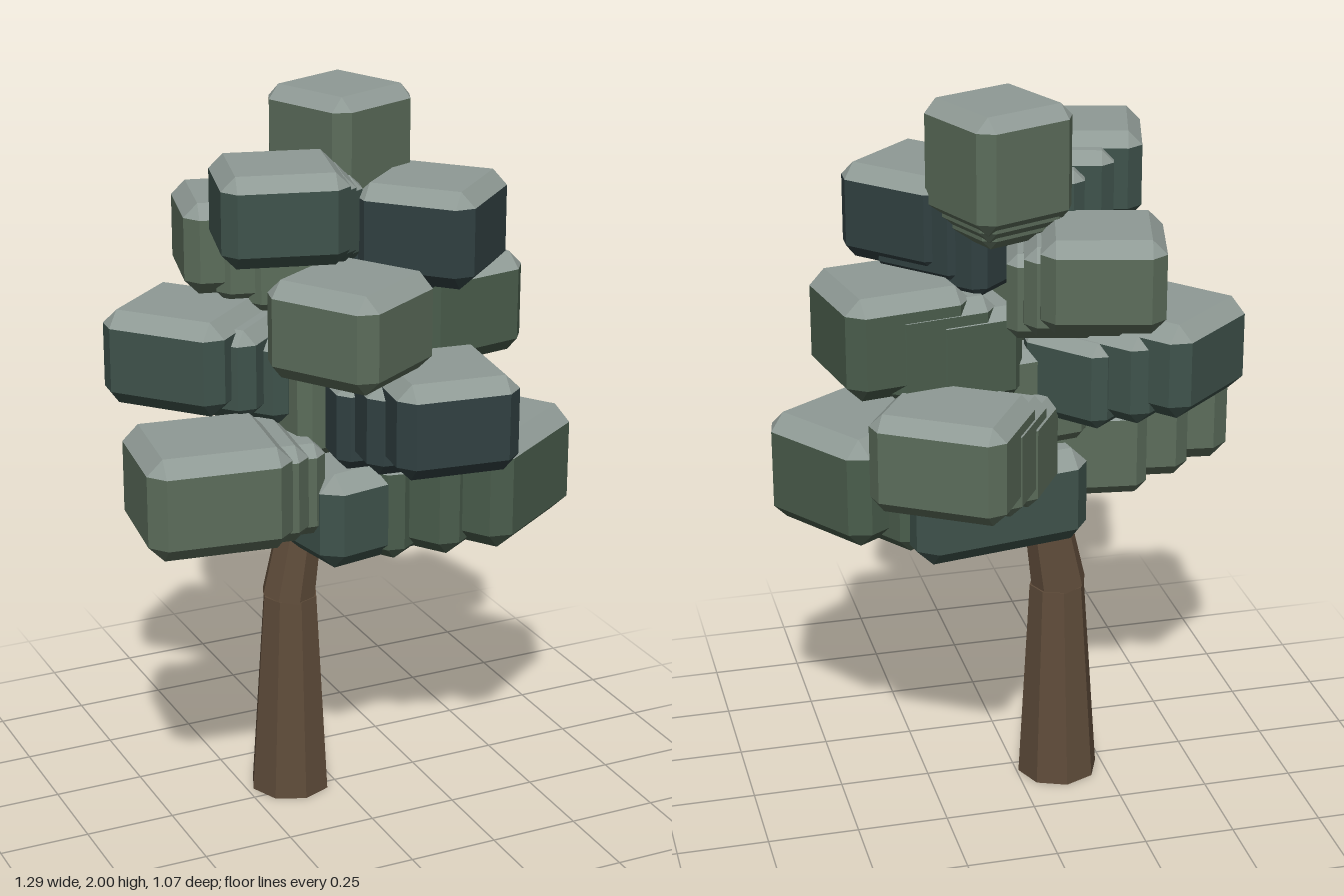
import * as THREE from 'three';
import { ConvexGeometry } from 'three/addons/geometries/ConvexGeometry.js';

const flat = (color) => new THREE.MeshStandardMaterial({ color, flatShading: true });
const leaf = { light: flat(0x5c6d5b), mid: flat(0x4a5d4c), teal: flat(0x3f534c), dark: flat(0x314142) };
const topMat = flat(0x8f9a95);
const barkMat = flat(0x5f4c3a);

// Box with every edge and corner cut flat; upward faces go to the second material
function chamferBox(w, h, d, c) {
  const points = [];
  for (const x of [-1, 1]) for (const y of [-1, 1]) for (const z of [-1, 1]) {
    const [a, b, e] = [w / 2, h / 2, d / 2];
    points.push(
      new THREE.Vector3(x * a, y * (b - c), z * (e - c)),
      new THREE.Vector3(x * (a - c), y * b, z * (e - c)),
      new THREE.Vector3(x * (a - c), y * (b - c), z * e));
  }
  const geometry = new ConvexGeometry(points);
  const normal = geometry.attributes.normal;
  for (let i = 0; i < normal.count; i += 3) geometry.addGroup(i, 3, normal.getY(i) > 0.3 ? 1 : 0);
  return geometry;
}

function leafBlock(name, tone, x, y, z, w, h, d, degrees) {
  const mesh = new THREE.Mesh(chamferBox(w, h, d, 0.12 * Math.min(w, d)), [leaf[tone], topMat]);
  mesh.name = name;
  mesh.position.set(x, y, z);
  mesh.rotation.y = THREE.MathUtils.degToRad(degrees);
  return mesh;
}

// Tapered eight-sided log between two points
function log(name, from, to, r0, r1) {
  const a = new THREE.Vector3(...from), b = new THREE.Vector3(...to);
  const dir = b.clone().sub(a);
  const mesh = new THREE.Mesh(new THREE.CylinderGeometry(r1, r0, dir.length(), 8), barkMat);
  mesh.name = name;
  mesh.position.copy(a).add(b).multiplyScalar(0.5);
  mesh.quaternion.setFromUnitVectors(new THREE.Vector3(0, 1, 0), dir.normalize());
  return mesh;
}

export function createModel() {
  const tree = new THREE.Group();
  tree.name = 'tree';

  // Trunk, bent at mid height and running up into the leaves
  const trunk = new THREE.Group();
  trunk.name = 'trunk';
  trunk.add(
    log('lowerTrunk', [-0.12, 0, -0.045], [-0.115, 0.59, -0.047], 0.114, 0.078),
    log('upperTrunk', [-0.12, 0.585, -0.047], [-0.06, 0.95, -0.04], 0.077, 0.055));
  tree.add(trunk);

  // Outer block of each bough: tone, x, bottom, top, z, width, depth, turn
  const boughs = [
    ['mid', 0.39, 0.79, 1.1, 0.11, 0.42, 0.38, 34],
    ['light', -0.44, 0.9, 1.18, 0.16, 0.385, 0.355, -7.5],
    ['light', 0.24, 1.0, 1.27, -0.325, 0.37, 0.31, -32],
    ['dark', 0.143, 1.09, 1.35, 0.352, 0.335, 0.335, -7],
    ['teal', -0.365, 1.18, 1.44, -0.155, 0.35, 0.36, 41],
    ['mid', 0.345, 1.25, 1.53, -0.05, 0.345, 0.345, 10],
    ['light', -0.1, 1.35, 1.61, 0.31, 0.335, 0.335, 32],
    ['light', -0.17, 1.45, 1.7, -0.268, 0.32, 0.32, -14],
    ['dark', 0.22, 1.53, 1.79, 0.13, 0.33, 0.33, 43],
    ['teal', -0.213, 1.63, 1.87, 0.12, 0.33, 0.314, -15],
    ['light', 0.065, 1.69, 2.0, -0.11, 0.3, 0.3, 22],
  ];
  // Distance from the axis and size of each block along a bough
  const steps = [[1, 1], [0.73, 0.87], [0.45, 0.74]];
  boughs.forEach(([tone, x, y0, y1, z, w, d, turn], i) => {
    const bough = new THREE.Group();
    bough.name = `bough${i + 1}`;
    // The tree axis leans slightly, ending under the top block
    const rise = (y0 + y1) / 2 - 0.8;
    const axisX = -0.1 + 0.16 * rise, axisZ = -0.03 - 0.08 * rise;
    steps.forEach(([t, s], k) => {
      bough.add(leafBlock(
        k === 0 ? 'outerLeaves' : 'innerLeaves', tone,
        axisX + (x - axisX) * t, Math.max((y0 + y1) / 2 - 0.03 * k, 0.89), axisZ + (z - axisZ) * t,
        w * s, (y1 - y0) * (1 - 0.04 * k), d * s, turn));
    });
    tree.add(bough);
  });

  // Wide block at the bottom of the crown, and a core above it
  tree.add(
    leafBlock('crownBase', 'teal', 0.09, 0.885, 0, 0.5, 0.27, 0.39, 10),
    leafBlock('crownCore', 'light', -0.04, 1.18, -0.02, 0.26, 0.28, 0.24, 10));
  return tree;
}
